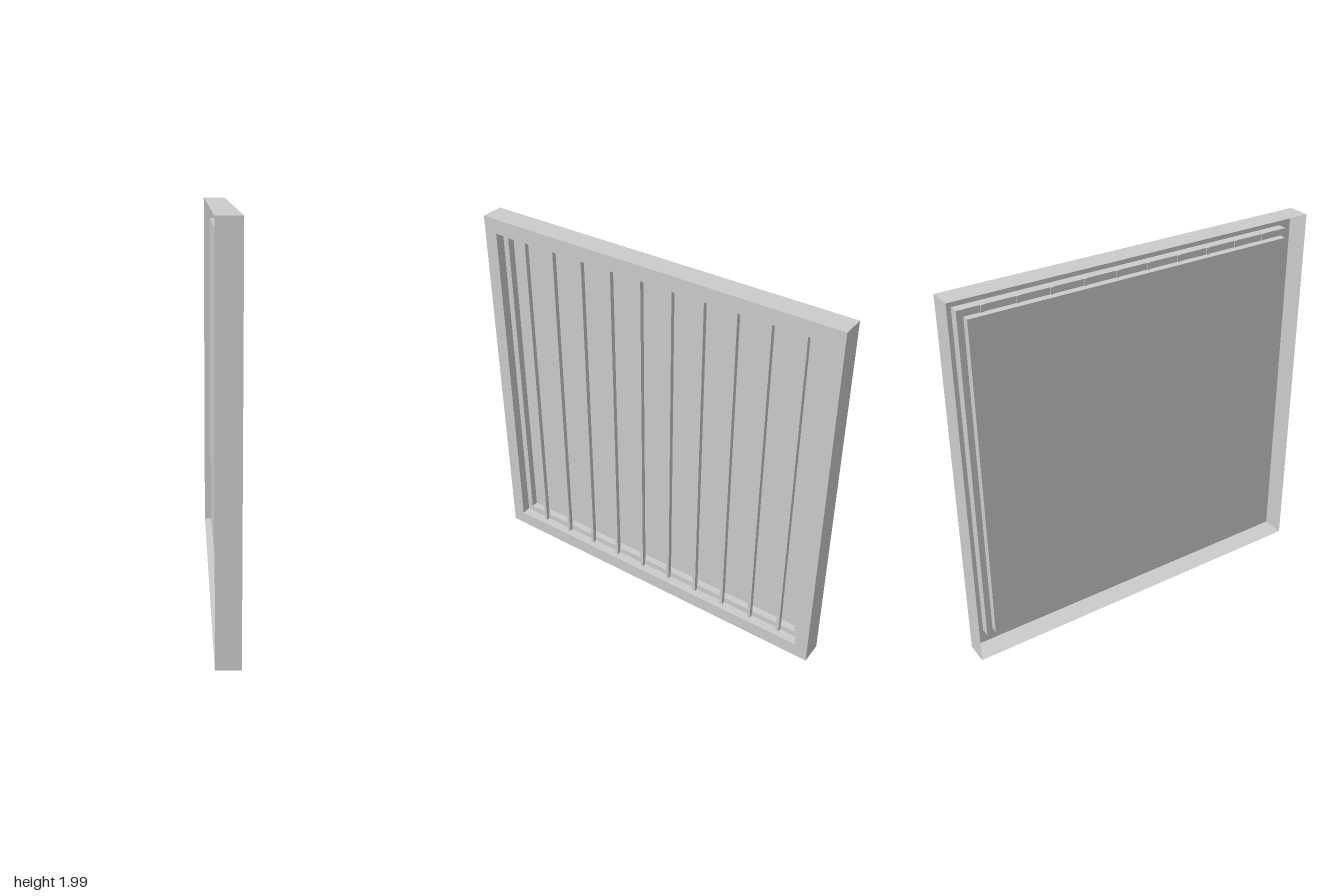
import * as THREE from 'three';

const material = new THREE.MeshStandardMaterial({
  color: 0xcccccc, flatShading: true, side: THREE.DoubleSide,
});
const MID_Y = 0.995;

// Thin sheet swept through rectangular rings, each [x, half height, half width]
function steppedSheet(rings) {
  const corners = [[-1, 1], [-1, -1], [1, -1], [1, 1]];
  const point = ([x, h, w], i) => {
    const [sy, sz] = corners[i % 4];
    return [x, MID_Y + sy * h, sz * w];
  };
  const positions = [];
  for (let r = 0; r < rings.length - 1; r++) {
    for (let i = 0; i < 4; i++) {
      const a = point(rings[r], i), b = point(rings[r], i + 1);
      const c = point(rings[r + 1], i + 1), d = point(rings[r + 1], i);
      positions.push(...a, ...b, ...c, ...a, ...c, ...d);
    }
  }
  const geometry = new THREE.BufferGeometry();
  geometry.setAttribute('position', new THREE.Float32BufferAttribute(positions, 3));
  geometry.computeVertexNormals();
  return geometry;
}

export function createModel() {
  const group = new THREE.Group();
  const add = (name, geometry, x = 0, y = 0, z = 0) => {
    const mesh = new THREE.Mesh(geometry, material);
    mesh.name = name;
    mesh.position.set(x, y, z);
    group.add(mesh);
    return mesh;
  };

  // Hollow outer frame: side walls, flat front border and opening walls
  const back = [-0.06, 0.995, 1], front = [0.06, 0.995, 1];
  const openingFront = [0.06, 0.916, 0.928], openingBack = [0.01, 0.916, 0.928];
  add('frame', steppedSheet([back, front, openingFront, openingBack]));

  // Stepped rebate that holds the pane
  const rebateFront = [0.01, 0.882, 0.896], rebateBack = [-0.028, 0.882, 0.896];
  add('rebate', steppedSheet([openingBack, rebateFront, rebateBack]));

  // Recessed pane facing +x
  const pane = new THREE.PlaneGeometry(2 * 0.896, 2 * 0.882).rotateY(Math.PI / 2);
  add('pane', pane, -0.028, MID_Y, 0);

  // Row of ten slim upright bars across the opening
  const bar = new THREE.BoxGeometry(0.025, 2 * 0.916, 0.017);
  for (let i = 0; i < 10; i++) {
    add('bar', bar, 0.018, MID_Y, 0.777 - i * 0.1758);
  }
  return group;
}
